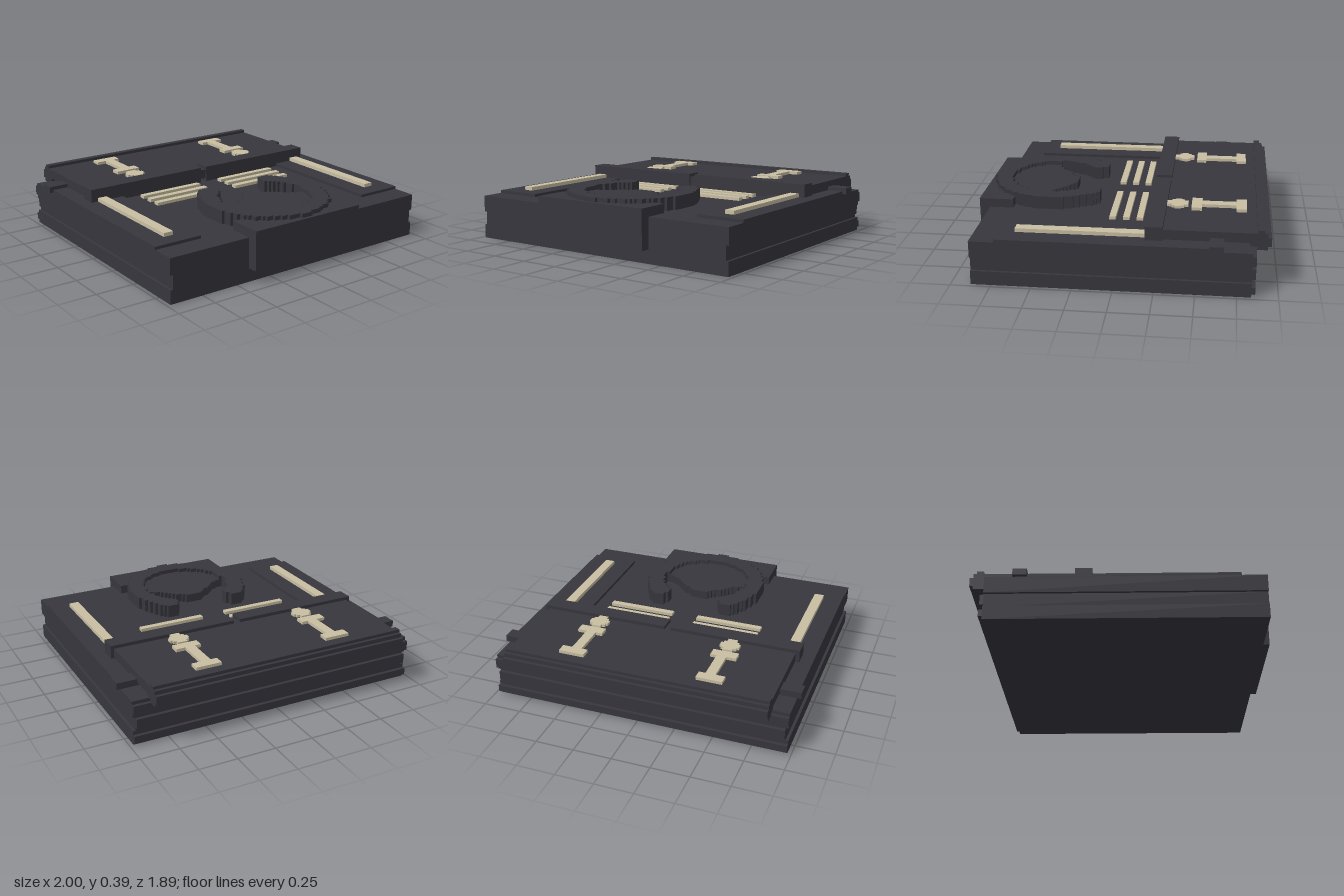
import * as THREE from 'three';

const dark = new THREE.MeshStandardMaterial({ color: 0x37363d });
dark.name = 'charcoal';
const cream = new THREE.MeshStandardMaterial({ color: 0xc8bea2 });
cream.name = 'cream';

// Box given by its limits on each axis
function box(parent, name, mat, [x0, x1], [y0, y1], [z0, z1]) {
  const m = new THREE.Mesh(new THREE.BoxGeometry(x1 - x0, y1 - y0, z1 - z0), mat);
  m.position.set((x0 + x1) / 2, (y0 + y1) / 2, (z0 + z1) / 2);
  m.name = name;
  parent.add(m);
}

// Turn a smooth outline of [x, z] points into square stair steps
function stepped(points, cell) {
  const out = [];
  const snap = (v) => Math.round(v / cell) * cell;
  const add = (x, z) => {
    const last = out[out.length - 1];
    if (last && last.x === x && last.y === z) return;
    if (last && last.x !== x && last.y !== z) out.push(new THREE.Vector2(x, last.y));
    out.push(new THREE.Vector2(x, z));
  };
  points.forEach((p, i) => {
    const q = points[(i + 1) % points.length];
    for (let k = 0; k < 40; k++) {
      const t = k / 40;
      add(snap(p[0] + (q[0] - p[0]) * t), snap(p[1] + (q[1] - p[1]) * t));
    }
  });
  return out;
}

// Upright slab with a stepped outline in x and z
function slab(parent, name, mat, points, y0, y1, cell = 0.0205) {
  const shape = new THREE.Shape(stepped(points, cell));
  const geo = new THREE.ExtrudeGeometry(shape, { depth: y1 - y0, bevelEnabled: false });
  geo.rotateX(Math.PI / 2);
  const m = new THREE.Mesh(geo, mat);
  m.position.y = y1;
  m.name = name;
  parent.add(m);
}

// Close a half outline (running from x = 0 back to x = 0) by mirroring
const mirrored = (half) => [...half, ...half.slice().reverse().filter((p) => p[0] !== 0).map(([x, z]) => [-x, z])];

export function createModel() {
  const g = new THREE.Group();
  g.name = 'panel';

  // Base with a groove along both sides
  box(g, 'baseLower', dark, [-0.975, 0.975], [0, 0.09], [-0.837, 0.876]);
  box(g, 'baseGroove', dark, [-0.957, 0.957], [0.09, 0.18], [-0.837, 0.876]);
  box(g, 'baseUpper', dark, [-0.975, 0.975], [0.18, 0.287], [-0.837, 0.876]);

  // Ribs across the back
  [[0.02, 0.065, 0.975], [0.11, 0.175, 0.957], [0.203, 0.265, 0.975]].forEach(([y0, y1, w]) =>
    box(g, 'backRib', dark, [-w, w], [y0, y1], [-0.86, -0.837]));

  // Front block
  box(g, 'frontBlock', dark, [-0.413, 0.413], [0.09, 0.345], [0.72, 0.943]);

  // Open ring with two prongs, and the pointed plate inside it
  slab(g, 'openRing', dark, mirrored([
    [0, 0.92], [0.1, 0.9], [0.2, 0.86], [0.29, 0.8], [0.35, 0.72], [0.39, 0.63], [0.413, 0.53],
    [0.413, 0.43], [0.375, 0.31], [0.33, 0.22], [0.27, 0.16], [0.22, 0.16], [0.175, 0.23],
    [0.18, 0.26], [0.25, 0.32], [0.305, 0.44], [0.305, 0.51], [0.285, 0.53], [0.28, 0.62],
    [0.23, 0.7], [0.16, 0.76], [0.08, 0.79], [0, 0.79]]), 0.28, 0.372);
  slab(g, 'pointedPlate', dark, mirrored([
    [0, 0.34], [0.06, 0.36], [0.14, 0.42], [0.21, 0.48], [0.3, 0.525], [0.3, 0.62],
    [0.24, 0.72], [0.16, 0.78], [0, 0.81]]), 0.28, 0.345);

  // Raised rear panel with its rolled back edge
  box(g, 'rearPanel', dark, [-0.867, 0.867], [0.307, 0.37], [-0.87, -0.2]);
  box(g, 'rearEdgeCore', dark, [-0.867, 0.867], [0.285, 0.37], [-0.862, -0.82]);
  box(g, 'rearEdgeBar', dark, [-0.867, 0.867], [0.265, 0.37], [-0.925, -0.862]);
  box(g, 'rearEdgeLip', dark, [-0.867, 0.867], [0.287, 0.344], [-0.947, -0.925]);
  box(g, 'rearEdgeCap', dark, [-0.867, 0.867], [0.36, 0.39], [-0.904, -0.862]);

  // Two ridges along the front of the rear panel
  box(g, 'rightRidge', dark, [-0.893, -0.025], [0.287, 0.392], [-0.295, -0.188]);
  box(g, 'leftRidge', dark, [0.02, 0.888], [0.287, 0.392], [-0.295, -0.188]);

  // Cream slats
  for (const s of [-1, 1]) {
    const span = (a, b) => (s > 0 ? [a, b] : [-b, -a]);
    [-0.147, -0.06, 0.028].forEach((z) =>
      box(g, 'slat', cream, span(0.088, 0.545), [0.28, 0.307], [z, z + 0.041]));

    // Side panels, strips and tabs
    box(g, 'sidePanel', dark, span(0.655, 0.975), [0.28, 0.306], [-0.65, 0.72]);
    box(g, 'sideStrip', cream, span(0.782, 0.847), [0.3, 0.33], [-0.19, 0.615]);
    box(g, 'sideTab', dark, span(0.8, 1), [0.288, 0.33], [-0.665, -0.578]);

    // Bar-shaped emblem and stepped dot
    box(g, 'emblemBackBar', cream, span(0.372, 0.542), [0.36, 0.39], [-0.8, -0.735]);
    box(g, 'emblemStem', cream, span(0.415, 0.479), [0.36, 0.39], [-0.735, -0.518]);
    box(g, 'emblemFrontBar', cream, span(0.372, 0.542), [0.36, 0.39], [-0.518, -0.452]);
    const dot = new THREE.Group();
    dot.name = 'emblemDot';
    dot.position.x = s * 0.455;
    g.add(dot);
    [[0.033, -0.43, -0.405], [0.053, -0.405, -0.385], [0.065, -0.385, -0.345],
      [0.05, -0.345, -0.325], [0.032, -0.325, -0.295]].forEach(([w, z0, z1]) =>
      box(dot, 'dotStep', cream, [-w, w], [0.36, 0.388], [z0, z1]));
  }
  return g;
}
